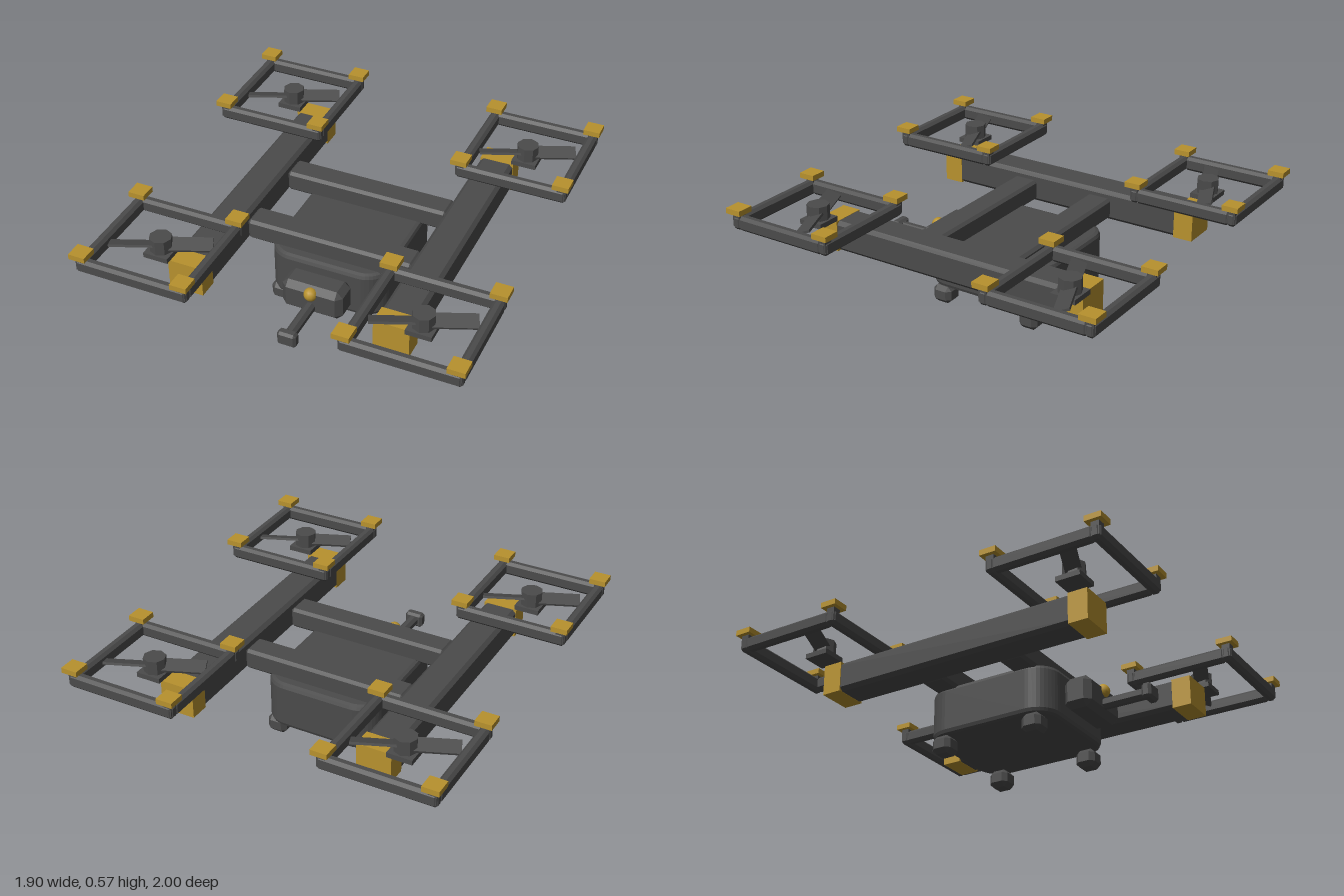
import * as THREE from 'three';
import { ConvexGeometry } from 'three/addons/geometries/ConvexGeometry.js';

const dark = new THREE.MeshStandardMaterial({ name: 'charcoal', color: 0x4b4b4b });
const gold = new THREE.MeshStandardMaterial({ name: 'gold', color: 0xb8922e });

// Box with all twelve edges cut at 45 degrees
function chamferBox(w, h, d, c) {
  const points = [];
  for (const x of [-1, 1]) for (const y of [-1, 1]) for (const z of [-1, 1]) {
    const [a, b, e] = [w / 2, h / 2, d / 2];
    points.push(
      new THREE.Vector3(x * a, y * (b - c), z * (e - c)),
      new THREE.Vector3(x * (a - c), y * b, z * (e - c)),
      new THREE.Vector3(x * (a - c), y * (b - c), z * e));
  }
  return new ConvexGeometry(points);
}

function add(parent, name, geometry, material, x = 0, y = 0, z = 0) {
  const mesh = new THREE.Mesh(geometry, material);
  mesh.name = name;
  mesh.position.set(x, y, z);
  parent.add(mesh);
  return mesh;
}

// Rounded-plan hull, extruded upwards with a small bevel
function hullGeometry(w, d, y0, y1, r, bevel) {
  const a = w / 2 - bevel, b = d / 2 - bevel;
  const s = new THREE.Shape();
  s.absarc(a - r, b - r, r, 0, Math.PI / 2);
  s.absarc(-a + r, b - r, r, Math.PI / 2, Math.PI);
  s.absarc(-a + r, -b + r, r, Math.PI, Math.PI * 1.5);
  s.absarc(a - r, -b + r, r, Math.PI * 1.5, Math.PI * 2);
  const g = new THREE.ExtrudeGeometry(s, {
    depth: y1 - y0 - 2 * bevel, bevelEnabled: true, bevelThickness: bevel,
    bevelSize: bevel, bevelSegments: 2, curveSegments: 5,
  });
  g.rotateX(-Math.PI / 2);
  g.translate(0, y0 + bevel, 0);
  return g;
}

// Square guard frame with corner caps, motor and two pitched blades
function rotorUnit() {
  const unit = new THREE.Group();
  unit.name = 'rotorUnit';
  const span = 0.26, railY = 0.493;
  const railX = chamferBox(0.57, 0.072, 0.05, 0.014);
  const railZ = chamferBox(0.05, 0.072, 0.5, 0.014);
  const post = new THREE.BoxGeometry(0.042, 0.07, 0.042);
  const cap = new THREE.BoxGeometry(0.083, 0.027, 0.083);
  for (const s of [-1, 1]) {
    add(unit, 'crossRail', railX, dark, 0, railY, s * span);
    add(unit, 'sideRail', railZ, dark, s * span, railY, 0);
    for (const t of [-1, 1]) {
      add(unit, 'cornerPost', post, dark, s * span, 0.507, t * span);
      add(unit, 'cornerCap', cap, gold, s * span, 0.554, t * span);
    }
  }
  add(unit, 'motorMount', new THREE.BoxGeometry(0.125, 0.025, 0.125), dark, 0, 0.468, 0);
  const hub = new THREE.CylinderGeometry(0.055, 0.055, 0.092, 8).toNonIndexed();
  hub.computeVertexNormals();
  add(unit, 'motorHub', hub, dark, 0, 0.506, 0);
  const blade = new THREE.BoxGeometry(0.21, 0.012, 0.075);
  for (const turn of [0, Math.PI]) {
    const arm = new THREE.Group();
    arm.name = 'bladeArm';
    arm.position.y = 0.507;
    arm.rotation.y = 0.39 + turn;
    add(arm, 'blade', blade, dark, 0.135, 0, 0).rotation.x = 0.33;
    unit.add(arm);
  }
  return unit;
}

export function createModel() {
  const model = new THREE.Group();
  model.name = 'quadcopter';

  // Central body and feet
  add(model, 'body', hullGeometry(0.6, 0.69, 0.09, 0.335, 0.1, 0.022), dark);
  const foot = chamferBox(0.103, 0.09, 0.103, 0.022);
  for (const x of [-0.253, 0.253]) for (const z of [-0.25, 0.25])
    add(model, 'foot', foot, dark, x, 0.045, z);

  // Cross beams and long side beams with end blocks
  const crossBeam = chamferBox(0.85, 0.107, 0.132, 0.014);
  const sideBeam = chamferBox(0.17, 0.152, 1.3, 0.018);
  const endBlock = new THREE.BoxGeometry(0.173, 0.154, 0.1);
  for (const s of [-1, 1]) {
    add(model, 'crossBeam', crossBeam, dark, 0, 0.372, s * 0.218);
    add(model, 'sideBeam', sideBeam, dark, s * 0.512, 0.378, 0);
    for (const t of [-1, 1]) {
      add(model, 'endBlock', endBlock, gold, s * 0.513, 0.378, t * 0.683);
      const unit = rotorUnit();
      unit.position.set(s * 0.65, 0, t * 0.698);
      model.add(unit);
    }
  }

  // Front sensor housing, lens and probe
  add(model, 'sensorHousing', chamferBox(0.312, 0.16, 0.145, 0.03), dark, 0, 0.216, 0.413);
  const lens = new THREE.SphereGeometry(0.034, 12, 8);
  add(model, 'lens', lens, gold, 0, 0.258, 0.477);
  const probe = new THREE.CylinderGeometry(0.028, 0.028, 0.24, 8).toNonIndexed();
  probe.rotateY(Math.PI / 8);
  probe.rotateX(Math.PI / 2);
  probe.computeVertexNormals();
  add(model, 'probe', probe, dark, 0, 0.188, 0.59);
  add(model, 'probeTip', chamferBox(0.095, 0.075, 0.05, 0.012), dark, 0, 0.188, 0.722);

  return model;
}
